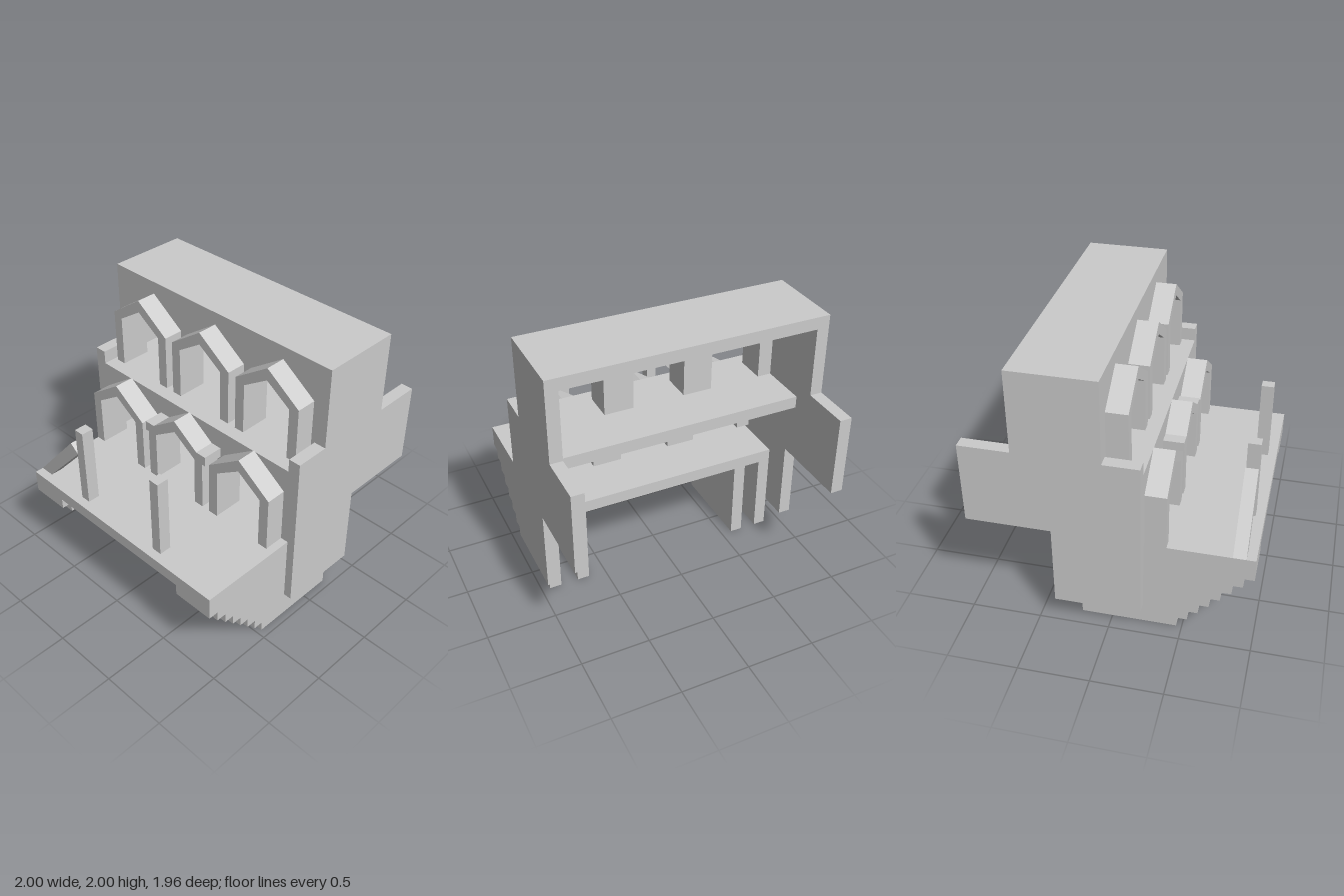
import * as THREE from 'three';

const material = new THREE.MeshStandardMaterial({ color: 0xcccccc });

export function createModel() {
  const model = new THREE.Group();

  const add = (name, geometry) => {
    const mesh = new THREE.Mesh(geometry, material);
    mesh.name = name;
    model.add(mesh);
    return mesh;
  };
  // Box from its min and max on each axis
  const box = (name, x0, x1, y0, y1, z0, z1) => {
    const g = new THREE.BoxGeometry(x1 - x0, y1 - y0, z1 - z0);
    g.translate((x0 + x1) / 2, (y0 + y1) / 2, (z0 + z1) / 2);
    return add(name, g);
  };
  const toShape = (pts) => new THREE.Shape(pts.map(([x, y]) => new THREE.Vector2(x, y)));
  // Front outline [x, y] extruded from z0 to z1
  const frontSlab = (name, pts, z0, z1) => {
    const g = new THREE.ExtrudeGeometry(toShape(pts), { depth: z1 - z0, bevelEnabled: false });
    return add(name, g.translate(0, 0, z0));
  };
  // Side outline [z, y] extruded from x0 to x1
  const sideSlab = (name, pts, x0, x1) => {
    const shape = toShape(pts.map(([z, y]) => [-z, y]));
    const g = new THREE.ExtrudeGeometry(shape, { depth: x1 - x0, bevelEnabled: false });
    return add(name, g.rotateY(Math.PI / 2).translate(x0, 0, 0));
  };

  // Stepped side walls
  const wall = [[0.23, 0.19], [-0.38, 0.19], [-0.38, 0.8], [-0.98, 0.8], [-0.98, 1.4],
    [-0.62, 1.4], [-0.62, 2], [-0.02, 2], [-0.02, 1.4], [0.23, 1.4]];
  sideSlab('rightSideWall', wall, -1, -0.91);
  sideSlab('leftSideWall', wall, 0.91, 1);

  // Roof and floors
  box('roof', -0.91, 0.91, 1.91, 2, -0.62, -0.1);
  box('upperFloor', -0.91, 0.91, 1.21, 1.3, -0.46, 0.15);
  box('lowerFloor', -0.88, 0.94, 0.61, 0.7, -0.22, 0.98);

  // Two storeys of pointed arches: wall with openings, then projecting frames
  const centres = [-0.61, 0, 0.61];
  const arch = (cx, half, base, shoulder, peak) => [
    [cx - half, base], [cx - half, shoulder], [cx, peak], [cx + half, shoulder], [cx + half, base]];
  const storey = (name, base, top, front) => {
    const inner = (cx) => arch(cx, 0.195, base, base + 0.385, base + 0.515);
    const outer = (cx) => arch(cx, 0.272, base, base + 0.415, base + 0.607);
    frontSlab(name + 'ArcadeWall',
      [[-0.91, base], ...centres.flatMap(inner), [0.91, base], [0.91, top], [-0.91, top]],
      front - 0.08, front);
    for (const cx of centres) {
      frontSlab(name + 'ArchFrame', [...outer(cx), ...inner(cx).reverse()], front, front + 0.15);
    }
  };
  storey('upper', 1.3, 2, -0.02);
  storey('lower', 0.7, 1.3, 0.23);

  // Capitals on the middle lower arch
  for (const s of [-1, 1]) {
    box('archCapital', s * 0.255 - 0.045, s * 0.255 + 0.045, 1.08, 1.155, 0.23, 0.38);
  }

  // Balcony posts and slanted brace
  for (const s of [-1, 1]) {
    box('balconyPost', s * 0.375 - 0.038, s * 0.375 + 0.038, 0.7, 1.3, 0.825, 0.915);
  }
  frontSlab('slantedBrace', [[-0.88, 0.7], [-0.77, 0.7], [-0.41, 1.09], [-0.48, 1.15]], 0.825, 0.915);

  // Hollow legs: two stepped cheeks joined by inverted stairs at the front
  const steps = 7, rise = 0.53 / steps, run = 0.52 / steps;
  const cheek = [[-0.22, 0.61], [-0.22, 0]];
  for (let i = 0; i < steps; i++) {
    const z = 0.46 + i * run;
    cheek.push([z, i * rise], [z, (i + 1) * rise]);
  }
  cheek.push([0.98, 0.53], [0.98, 0.61]);
  for (const [x0, x1] of [[-0.88, -0.58], [0.63, 0.94]]) {
    sideSlab('legCheek', cheek, x0, x0 + 0.09);
    sideSlab('legCheek', cheek, x1 - 0.09, x1);
    for (let i = 0; i <= steps; i++) {
      const z = 0.46 + i * run;
      box('legStep', x0 + 0.09, x1 - 0.09, i * rise, i < steps ? (i + 1) * rise : 0.61, z - 0.12, z);
    }
  }

  return model;
}
